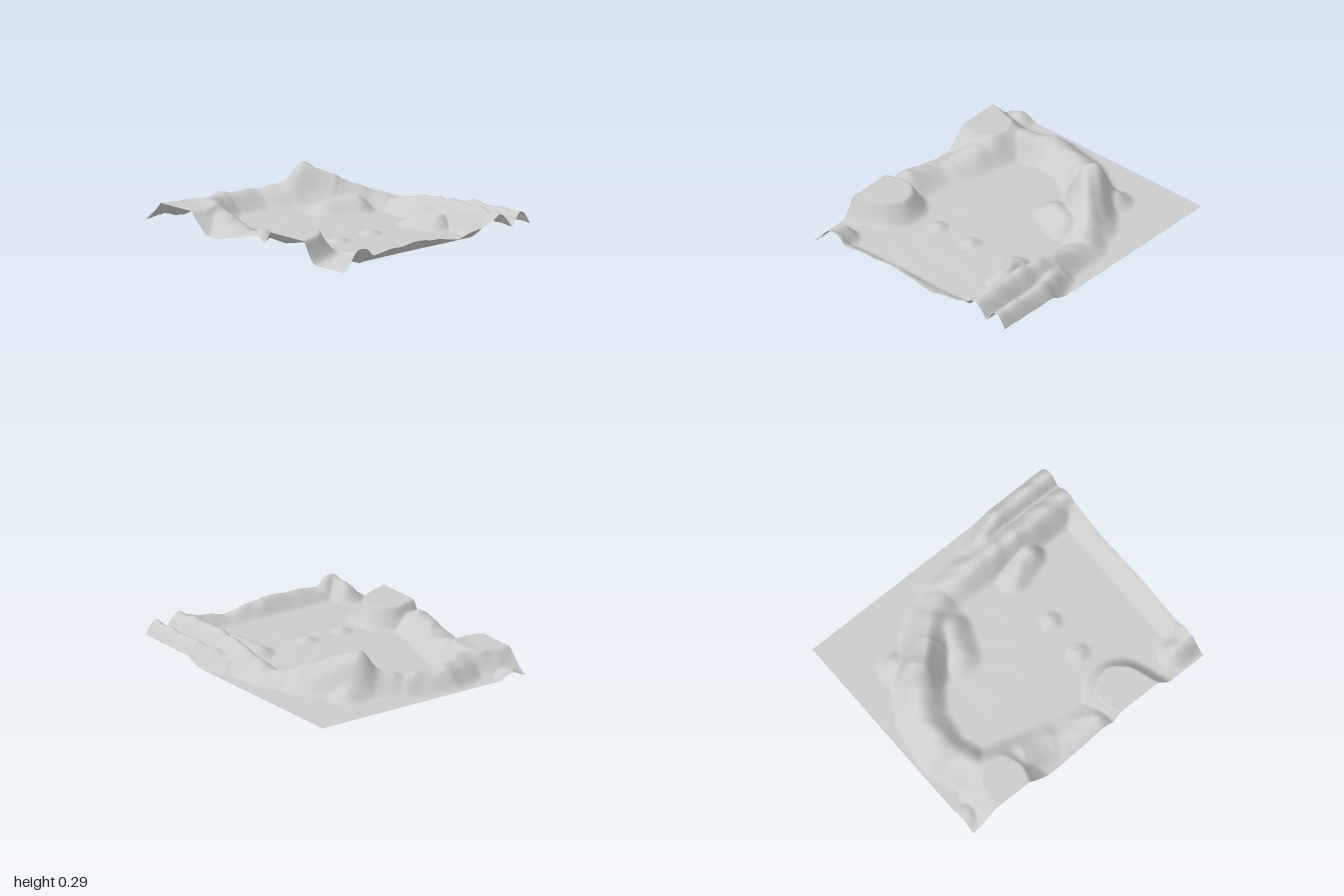
import * as THREE from 'three';

// A ridge has one half width and a crest line of [x, z, height] points; one point makes a mound.
const ridge = (width, ...crest) => ({ width, crest, cap: 1 });
// A mesa is a ridge cut off flat.
const mesa = (width, ...crest) => ({ width, crest, cap: 0.145 });

const backRim = ridge(0.19, [-0.68, -0.22, 0.07], [-0.64, -0.42, 0.125], [-0.56, -0.7, 0.14], [-0.3, -0.8, 0.13], [0, -0.75, 0.115], [0.24, -0.58, 0.2]);
const peak = ridge(0.21, [0.24, -0.58, 0.275], [0.35, -0.42, 0.2], [0.46, -0.29, 0.12]);
const rightRidge = ridge(0.165, [0.46, -0.29, 0.12], [0.6, -0.08, 0.07], [0.6, 0.25, 0.15], [0.58, 0.64, 0.18], [0.58, 1, 0.15]);
const outerRidge = ridge(0.13, [0.68, 0.28, 0.09], [0.77, 0.52, 0.135], [0.77, 1, 0.14]);
const leftHills = ridge(0.2, [-0.78, 0.12, 0.12], [-0.74, -0.1, 0.06]);
const frontLeftLumps = ridge(0.13, [-0.72, 0.86, 0.1], [-0.71, 1, 0.135], [-0.65, 1, 0.135]);
const frontBerm = ridge(0.14, [-0.55, 1, 0.08], [-0.1, 1, 0.1], [0.2, 1, 0.055], [0.48, 1, 0.11]);
const innerHillock = ridge(0.16, [0.17, -0.28, 0.07], [0.36, -0.2, 0.1]);
const lowerHillock = ridge(0.13, [0.38, 0.36, 0.06], [0.44, 0.54, 0.1]);
const spur = ridge(0.16, [0.37, -0.64, 0.08]);
const cornerBump = ridge(0.12, [-0.73, -0.95, 0.055]);
const floorBumps = [-0.31, -0.02].map((x) => ridge(0.09, [x, 0.36, 0.03]));
const backMesa = mesa(0.32, [-0.9, -0.67, 0.245], [-0.72, -0.63, 0.245]);
const leftMesa = mesa(0.27, [-0.9, 0.46, 0.35], [-0.71, 0.39, 0.33]);

const features = [backRim, peak, rightRidge, outerRidge, leftHills, frontLeftLumps, frontBerm,
  innerHillock, lowerHillock, spur, cornerBump, ...floorBumps, backMesa, leftMesa];

// Gentle unevenness of the rock
const rough = (x, z) => Math.sin(17 * x + 3 * Math.sin(7 * z)) * Math.sin(19 * z + 2 * Math.sin(9 * x));

// Height of one feature at a point: rounded falloff from the nearest part of its crest
function featureHeight({ width, crest, cap }, x, z) {
  let best = 0;
  for (let i = 0; i < Math.max(1, crest.length - 1); i++) {
    const a = crest[i], b = crest[i + 1] ?? a;
    const dx = b[0] - a[0], dz = b[1] - a[1];
    const t = THREE.MathUtils.clamp(((x - a[0]) * dx + (z - a[1]) * dz) / (dx * dx + dz * dz || 1), 0, 1);
    const d = Math.hypot(x - a[0] - dx * t, z - a[1] - dz * t) / width;
    if (d < 1) best = Math.max(best, THREE.MathUtils.lerp(a[2], b[2], t) * (1 - d * d) ** 2);
  }
  return Math.min(cap, best * (1 + 0.08 * rough(x, z)));
}

// Blend all features with a soft maximum over a slightly uneven basin floor
function terrainHeight(x, z) {
  let sum = 0;
  for (const f of features) sum += featureHeight(f, x, z) ** 5;
  const inside = Math.max(0, 1 - (x / 0.6) ** 2) * Math.max(0, 1 - ((z - 0.15) / 0.8) ** 2);
  return sum ** (1 / 5) + inside * (0.012 + 0.002 * rough(x * 0.7, z * 0.7));
}

export function createModel() {
  const group = new THREE.Group();
  group.name = 'terrain';

  // Ground sheet lifted by the height rule
  const geometry = new THREE.PlaneGeometry(1.7, 2, 136, 160).rotateX(-Math.PI / 2);
  const p = geometry.attributes.position;
  for (let i = 0; i < p.count; i++) p.setY(i, terrainHeight(p.getX(i), p.getZ(i)));
  geometry.computeVertexNormals();

  const ground = new THREE.Mesh(geometry, new THREE.MeshStandardMaterial({ color: 0xcccccc, side: THREE.DoubleSide }));
  ground.name = 'ground';
  group.add(ground);
  return group;
}
